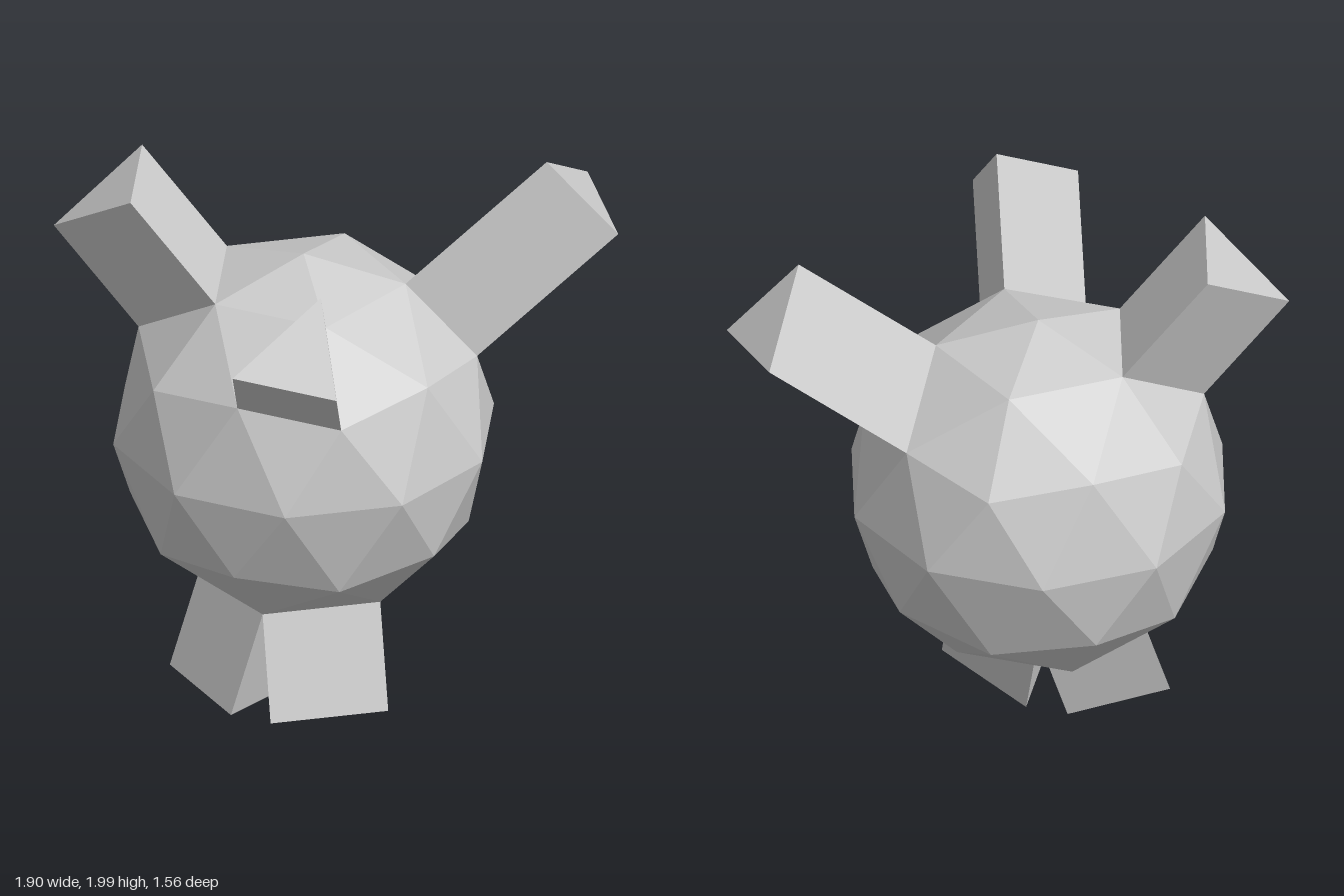
import * as THREE from 'three';
import { ConvexGeometry } from 'three/addons/geometries/ConvexGeometry.js';

const RADIUS = 0.656;
const CENTRE = new THREE.Vector3(-0.11, 1.017, -0.13);

// Point on the unit sphere at a height and an angle (degrees, from +x towards +z)
function onSphere(height, degrees = 0) {
  const r = Math.sqrt(Math.max(0, 1 - height * height));
  const a = THREE.MathUtils.degToRad(degrees);
  return new THREE.Vector3(r * Math.cos(a), height, r * Math.sin(a));
}

// Icosahedron corners, then the middles of its edges pushed out to the sphere
function ballPoints() {
  const corners = [onSphere(1), onSphere(-1)];
  for (let i = 0; i < 5; i++) {
    corners.push(onSphere(0.44721, i * 72), onSphere(-0.44721, i * 72 + 36));
  }
  const points = [...corners];
  corners.forEach((a, i) => corners.slice(i + 1).forEach((b) => {
    if (a.distanceTo(b) < 1.1) points.push(a.clone().add(b).normalize());
  }));
  return points;
}

// Three-sided prism raised from one facet of the ball along the facet's normal
function prismPoints(facet, length) {
  const base = facet.map((p) => p.clone().multiplyScalar(RADIUS));
  const normal = new THREE.Triangle(...base).getNormal(new THREE.Vector3());
  if (normal.dot(base[0]) < 0) normal.negate();
  return [...base, ...base.map((p) => p.clone().addScaledVector(normal, length))];
}

export function createModel() {
  const group = new THREE.Group();
  const material = new THREE.MeshStandardMaterial({ color: 0xcccccc, flatShading: true });
  const add = (name, points) => {
    const mesh = new THREE.Mesh(new ConvexGeometry(points), material);
    mesh.name = name;
    mesh.position.copy(CENTRE);
    group.add(mesh);
  };

  // Facet corners by ring, from the top of the ball to the bottom
  const crown = (deg) => onSphere(0.85065, deg);
  const shoulder = (deg) => onSphere(0.52573, deg);
  const corner = (deg) => onSphere(0.44721, deg);
  const hip = (deg) => onSphere(-0.85065, deg);
  const bottom = onSphere(-1);

  add('body', ballPoints().map((p) => p.multiplyScalar(RADIUS)));

  // Limbs: name, facet, length
  const limbs = [
    ['leftArm', [crown(0), corner(0), shoulder(-36)], 0.642],
    ['rightArm', [crown(144), crown(216), shoulder(180)], 0.472],
    ['snout', [crown(72), corner(72), shoulder(108)], 0.468],
    ['leftLeg', [hip(36), hip(108), bottom], 0.374],
    ['rightLeg', [hip(108), hip(180), bottom], 0.374],
  ];
  for (const [name, facet, length] of limbs) add(name, prismPoints(facet, length));

  return group;
}
